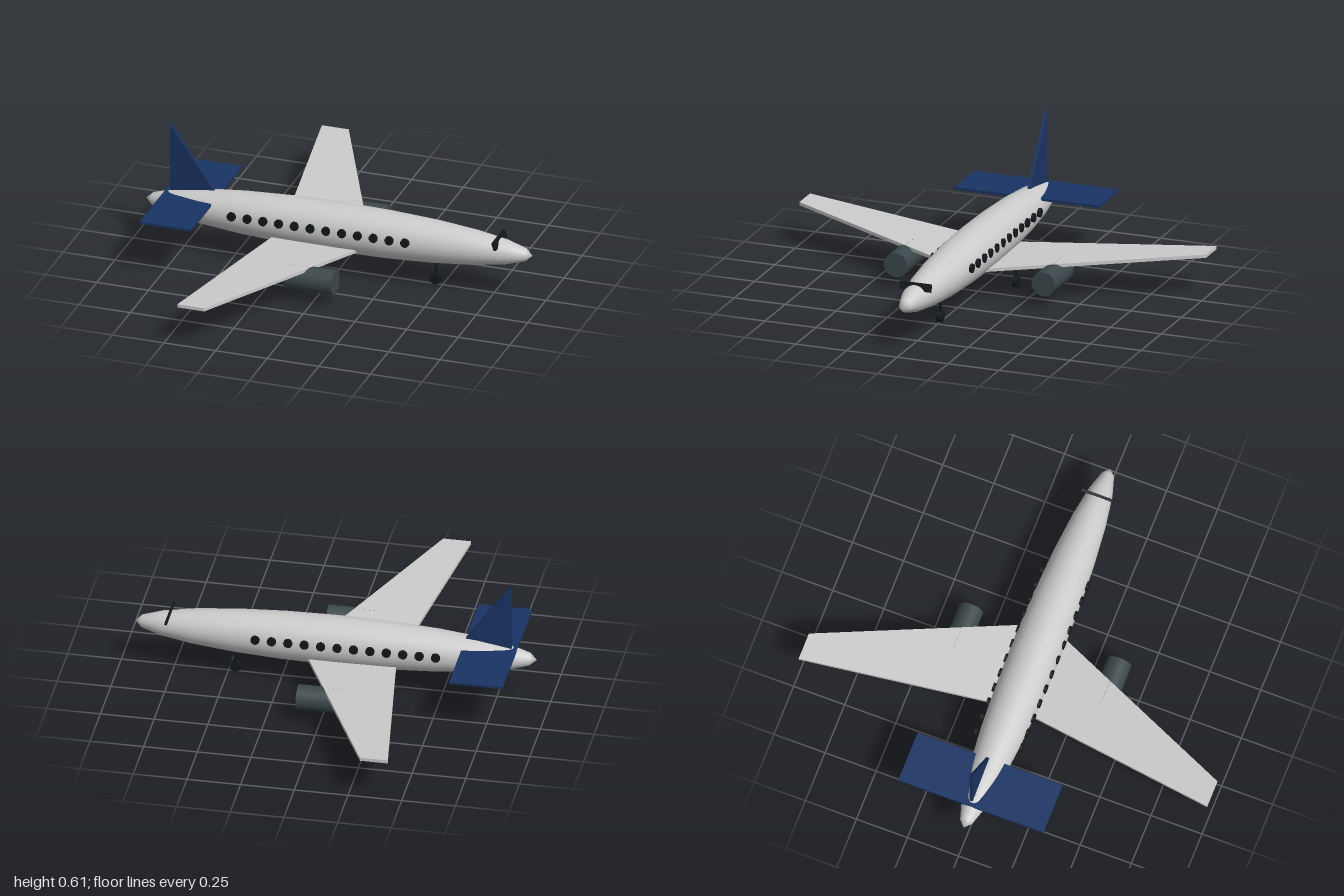
import * as THREE from 'three';

const mat = (color) => new THREE.MeshStandardMaterial({ color });

export function createModel() {
  const plane = new THREE.Group();
  plane.name = 'airplane';
  const grey = mat(0xcccccc);
  const navy = mat(0x1a3464);
  const slate = mat(0x3c484b);
  const black = mat(0x14181a);

  const add = (name, geometry, material, x = 0, y = 0, z = 0) => {
    const mesh = new THREE.Mesh(geometry, material);
    mesh.name = name;
    mesh.position.set(x, y, z);
    plane.add(mesh);
    return mesh;
  };
  const outline = (points) => new THREE.Shape(points.map(([x, y]) => new THREE.Vector2(x, y)));

  // Fuselage: stretched ellipsoid with its poles at nose and tail
  const hull = new THREE.SphereGeometry(1, 32, 12).rotateZ(-Math.PI / 2).scale(0.935, 0.115, 0.115);
  add('fuselage', hull, grey, 0, 0.215, 0);

  // Swept, tapered wing, sheared upwards towards the tip
  const wing = new THREE.ExtrudeGeometry(
    outline([[-0.292, 0.06], [0.125, 0.06], [-0.305, 1], [-0.435, 1]]),
    { depth: 0.016, bevelEnabled: false }
  ).rotateX(Math.PI / 2);
  const p = wing.attributes.position;
  for (let i = 0; i < p.count; i++) p.setY(i, p.getY(i) + 0.151 + 0.055 * p.getZ(i));
  wing.computeVertexNormals();

  const engine = new THREE.CylinderGeometry(0.058, 0.058, 0.23, 24).rotateZ(Math.PI / 2);
  const porthole = new THREE.CylinderGeometry(0.021, 0.021, 0.013, 16).rotateX(Math.PI / 2);

  // Paired parts on both sides
  for (const [side, s] of [['right', 1], ['left', -1]]) {
    add(side + 'Wing', wing, grey).scale.z = s;
    add(side + 'Engine', engine, slate, -0.008, 0.113, s * 0.363);
    for (let i = 0; i < 12; i++) {
      add(side + 'CabinWindow', porthole, black, -0.485 + i * 0.0764, 0.238, s * 0.111);
    }
  }

  // Tail fin and stabilizer
  const fin = new THREE.ExtrudeGeometry(
    outline([[-0.82, 0.26], [-0.578, 0.26], [-0.82, 0.606]]),
    { depth: 0.015, bevelEnabled: false }
  );
  add('tailFin', fin, navy, 0, 0, -0.015);
  add('stabilizer', new THREE.BoxGeometry(0.248, 0.012, 0.71), navy, -0.72, 0.261, 0);

  // Cockpit window slab, tilted back
  add('cockpitWindow', new THREE.BoxGeometry(0.013, 0.038, 0.155), black, 0.774, 0.269, 0).rotation.z = 0.3;

  // Landing gear: one nose leg and two main legs
  const wheel = new THREE.CylinderGeometry(0.026, 0.026, 0.024, 16).rotateX(Math.PI / 2);
  for (const [name, x, z, top] of [
    ['nose', 0.467, 0, 0.13],
    ['mainRight', -0.12, 0.14, 0.15],
    ['mainLeft', -0.12, -0.14, 0.15],
  ]) {
    const length = top - 0.026;
    add(name + 'Strut', new THREE.CylinderGeometry(0.007, 0.007, length, 8), black, x, 0.026 + length / 2, z);
    add(name + 'Wheel', wheel, black, x, 0.026, z);
  }

  return plane;
}
